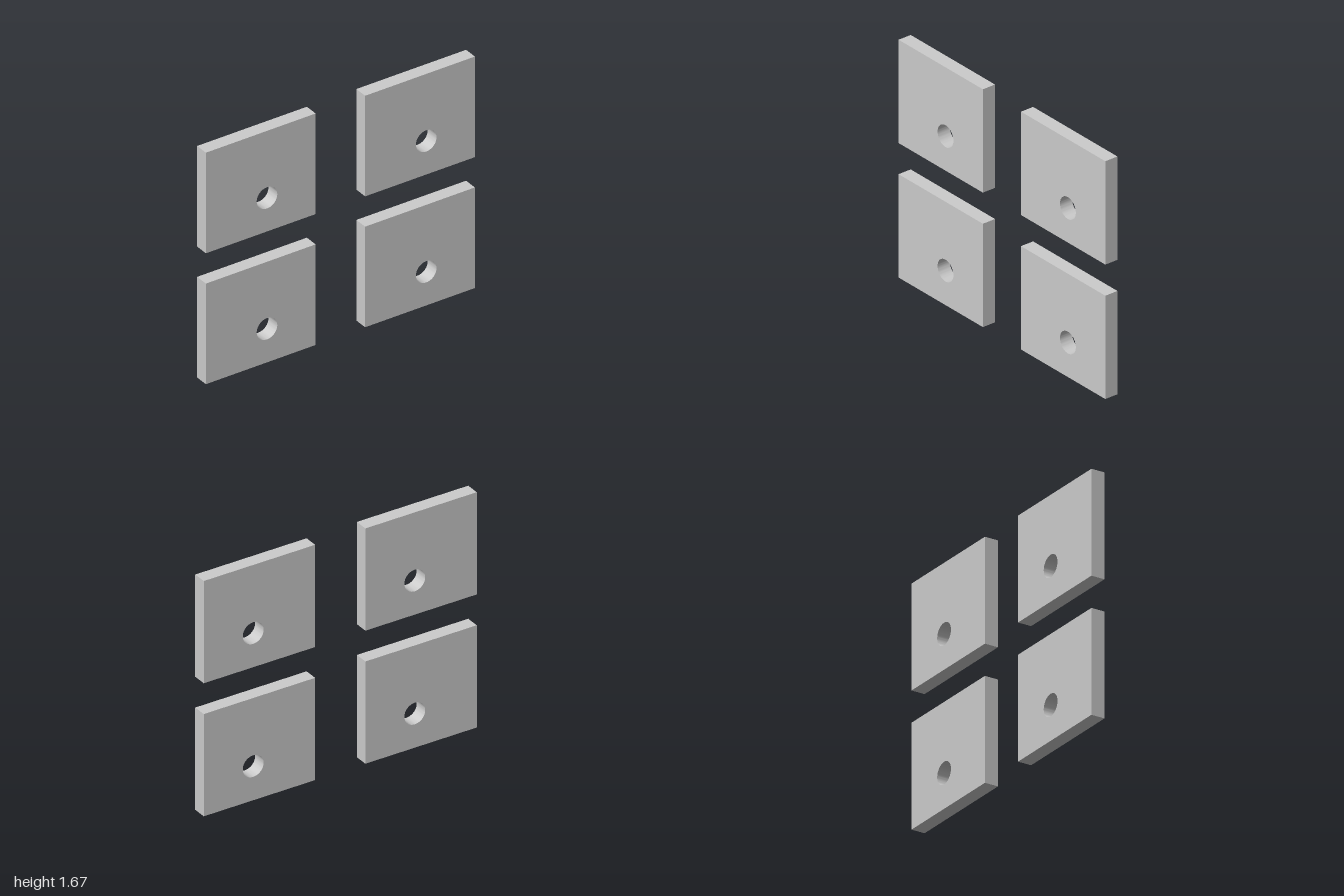
import * as THREE from 'three';
import { toCreasedNormals } from 'three/addons/utils/BufferGeometryUtils.js';

const W = 0.816, H = 0.724, T = 0.096; // plate size
const HOLE = { x: 0.454, y: 0.242, r: 0.0765 }; // from the plate's lower corner
const STEP_X = 1.184, STEP_Y = 0.942; // spacing of the plates

// Rectangular plate with an off-centre round hole through it
function plateGeometry() {
  const shape = new THREE.Shape();
  shape.moveTo(0, 0).lineTo(W, 0).lineTo(W, H).lineTo(0, H).closePath();
  const hole = new THREE.Path();
  hole.absarc(HOLE.x, HOLE.y, HOLE.r, 0, Math.PI * 2, true);
  shape.holes.push(hole);
  const geometry = new THREE.ExtrudeGeometry(shape, {
    depth: T, bevelEnabled: false, curveSegments: 32,
  });
  geometry.translate(0, 0, -T / 2);
  return toCreasedNormals(geometry, Math.PI / 6); // smooth hole, sharp edges
}

export function createModel() {
  const model = new THREE.Group();
  model.name = 'drilledPlates';
  const geometry = plateGeometry();
  const material = new THREE.MeshStandardMaterial({ color: 0xcccccc });

  // Two by two arrangement of identical plates
  ['lower', 'upper'].forEach((row, j) => {
    ['Right', 'Left'].forEach((side, i) => {
      const plate = new THREE.Mesh(geometry, material);
      plate.name = `${row}${side}Plate`;
      plate.position.set(-1 + i * STEP_X, j * STEP_Y, 0);
      model.add(plate);
    });
  });
  return model;
}
